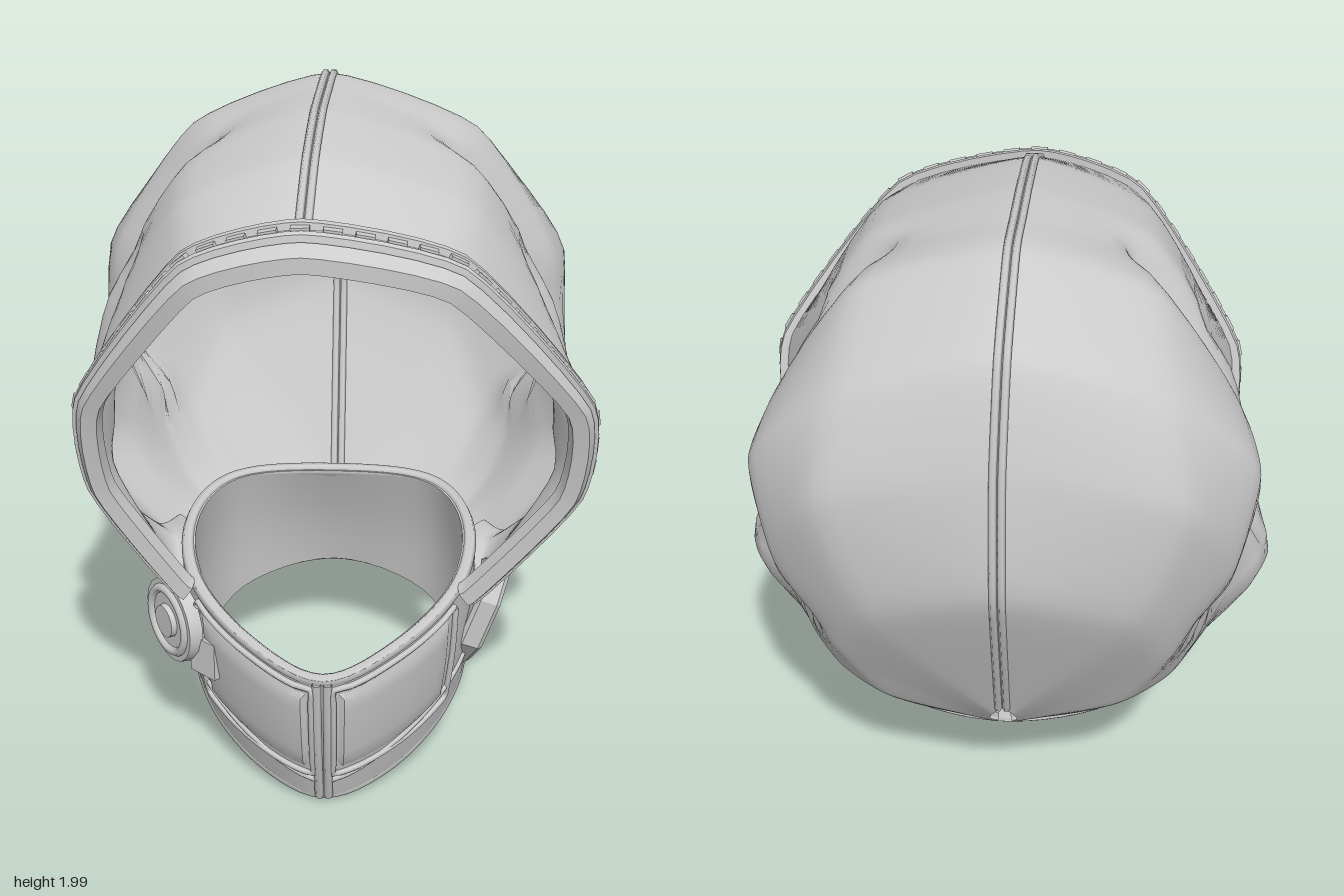
import * as THREE from 'three';
import { toCreasedNormals } from 'three/addons/utils/BufferGeometryUtils.js';

const V = (x, y, z) => new THREE.Vector3(x, y, z);
const mat = new THREE.MeshStandardMaterial({ color: 0xcccccc, side: THREE.DoubleSide });
// Taut curve: nearly straight between points, for angular cloth
const taut = pts => new THREE.CatmullRomCurve3(pts, false, 'catmullrom', .28);

// Skin a list of equally long point rows
function skin(rows, crease = 0.5) {
  const n = rows[0].length, pos = [], idx = [];
  rows.forEach(r => r.forEach(p => pos.push(p.x, p.y, p.z)));
  for (let i = 0; i < rows.length - 1; i++)
    for (let j = 0; j < n - 1; j++) {
      const a = i * n + j, b = a + n;
      idx.push(a, a + 1, b, a + 1, b + 1, b);
    }
  const g = new THREE.BufferGeometry();
  g.setAttribute('position', new THREE.Float32BufferAttribute(pos, 3));
  g.setIndex(idx);
  return toCreasedNormals(g, crease);
}

// Hood arches from brow to nape: mid [y,z], then shoulder, side, jowl, hem [x,y,z]
const arches = [
  [[1.83, .62], [.36, 1.73, .59], [.69, 1.28, .45], [.68, .97, .39], [.43, .62, .36]],
  [[1.94, .38], [.40, 1.80, .35], [.64, 1.40, .27], [.65, .95, .23], [.46, .62, .25]],
  [[1.985, .10], [.41, 1.83, .10], [.65, 1.42, .09], [.74, .90, .11], [.49, .65, .12]],
  [[1.99, -.10], [.38, 1.84, -.07], [.60, 1.42, -.06], [.79, .85, -.03], [.55, .62, 0]],
  [[1.985, -.28], [.42, 1.84, -.24], [.67, 1.45, -.21], [.75, .84, -.15], [.51, .50, -.11]],
  [[1.84, -.59], [.45, 1.68, -.53], [.71, 1.38, -.41], [.64, .78, -.25], [.43, .45, -.20]],
  [[1.54, -.70], [.49, 1.40, -.64], [.65, 1.08, -.47], [.50, .62, -.36], [.32, .43, -.26]],
  [[1.15, -.73], [.36, 1.02, -.65], [.46, .78, -.51], [.35, .54, -.41], [.20, .41, -.32]],
  [[.57, -.49], [.03, .53, -.47], [.04, .48, -.43], [.03, .43, -.39], [.02, .40, -.35]],
];
// Creases pressed into both cheeks: z,y start, z,y end, depth, width
const folds = [
  [-.01, 1.82, -.08, 1.45, .08, .07], [-.08, 1.45, -.15, 1.25, .08, .07],
  [-.13, 1.28, -.09, 1.06, .08, .07], [.14, 1.55, .28, 1.22, .04, .07],
  [.26, 1.16, .14, 1.02, .03, .07], [-.12, 1.06, -.42, .90, .05, .07],
];

function foldIn(p) {
  let d = 0;
  for (const [z0, y0, z1, y1, depth, w] of folds) {
    const q = new THREE.Line3(V(0, y0, z0), V(0, y1, z1)).closestPointToPoint(V(0, p.y, p.z), true, V());
    const r = Math.hypot(p.y - q.y, p.z - q.z) / w;
    d = Math.max(d, depth * Math.exp(-r * r));
  }
  p.x -= Math.sign(p.x) * d * Math.min(1, Math.max(0, (Math.abs(p.x) - .2) / .25));
  return p;
}

// Mirrored arch; the opening leans a little to the left, the seam to the right
function hoodArch([mid, ...side], k) {
  const [hx, hy, hz] = side[3], lean = .025 * Math.max(0, 1 - k / 2);
  const half = s => [...side, [hx * .86, hy + .03, hz]].map(([x, y, z], i) =>
    V(s * x + (i === 1 || i === 2 ? lean : 0), y, z));
  return taut([...half(-1).reverse(), V(-.05 * Math.max(0, 1 - k / 6), ...mid), ...half(1)]).getPoints(60);
}

// Collar loops, half from front to back
const topHalf = [[0, .51, .71], [.22, .57, .61], [.40, .66, .40], [.43, .73, .15], [.32, .75, -.08], [0, .75, -.15]];
const lowHalf = [[0, .02, .59], [.19, .05, .49], [.36, .15, .31], [.42, .24, .10], [.32, .31, -.16], [0, .35, -.30]];
const loop = half => new THREE.CatmullRomCurve3([...half.map(p => V(...p)),
  ...half.slice(1, 5).reverse().map(([x, y, z]) => V(-x, y, z))], true);
const topLoop = loop(topHalf), lowLoop = loop(lowHalf);
function collarPoint(u, v, off = 0) {
  const p = lowLoop.getPoint(u).lerp(topLoop.getPoint(u), v);
  const s = 1 + (off + .015 * Math.sin(v * Math.PI)) / .42, zc = .14 + .09 * v;
  return V(p.x * s, p.y, zc + (p.z - zc) * s);
}
const range = (n, f) => Array.from({ length: n + 1 }, (_, i) => f(i / n));

export function createModel() {
  const root = new THREE.Group();
  const add = (name, geo, parent = root) => {
    const m = new THREE.Mesh(geo, mat);
    m.name = name;
    parent.add(m);
    return m;
  };
  const tube = (name, pts, r, closed = false) =>
    add(name, new THREE.TubeGeometry(new THREE.CatmullRomCurve3(pts, closed), pts.length * 2, r, 6, closed));

  // Hood shell
  const coarse = arches.map(hoodArch);
  const columns = coarse[0].map((_, j) => taut(coarse.map(r => r[j])).getPoints(64).map(foldIn));
  add('hood', skin(columns, .8));

  // Centre seam: twin welts
  const mid = columns[30].filter((_, i) => i % 2 === 0);
  for (const s of [-1, 1])
    tube('centreSeam', mid.map(p => V(p.x + s * .012, p.y, p.z)), .011);

  // Face opening rim: a stepped band swept along the brow arch
  const edge = coarse[0].slice(5, 56);
  const rimPoint = (p, out, f) => {
    const d = V(p.x, p.y - 1.2, 0).normalize();
    const drop = f * .35 * Math.max(0, (p.y - 1.2) / .6);
    return V(p.x + d.x * out, p.y + d.y * out - drop, p.z + f);
  };
  const profile = [[-.02, -.01], [.022, -.01], [.026, .008], [.008, .012], [.008, .036], [.026, .04],
    [.024, .052], [.006, .056], [.012, .064], [-.005, .098], [-.05, .098], [-.06, .05], [-.02, -.01]];
  add('openingRim', skin(edge.map(p => profile.map(([o, f]) => rimPoint(p, o, f))), .4));

  // Stitches in the rim channel
  const stitches = new THREE.Group();
  stitches.name = 'rimStitches';
  root.add(stitches);
  const rimCurve = new THREE.CatmullRomCurve3(edge.map(p => rimPoint(p, .014, .024)));
  const stitchGeo = new THREE.BoxGeometry(.024, .022, .05);
  range(40, t => {
    const u = .02 + t * .96, p = rimCurve.getPointAt(u);
    const m = add('stitch', stitchGeo, stitches);
    m.position.copy(p);
    m.lookAt(p.clone().add(rimCurve.getTangentAt(u)));
  });

  // Neck collar, double walled
  const wall = [...range(5, v => [v, 0]), ...range(5, v => [1 - v, -.035]), [0, 0]];
  add('collar', skin(wall.map(([v, o]) => range(60, u => collarPoint(u, v, o)))));
  tube('collarTopHem', range(40, u => collarPoint(u, .985, -.015)).slice(0, 40), .02, true);
  tube('collarBottomHem', range(40, u => collarPoint(u, .02, -.015)).slice(0, 40), .018, true);

  for (const s of [1, -1]) {
    // Raised front panels with a piped frame
    const u0 = .014, u1 = .18, v0 = .24, v1 = .93;
    const at = (a, b, o) => collarPoint(s * (u0 + (u1 - u0) * a), v0 + (v1 - v0) * b, o);
    add('frontPanel', skin(range(8, b => range(12, a =>
      at(a, b, a % 1 === 0 || b % 1 === 0 ? -.01 : .008)))));
    const frame = [...range(8, a => at(a, 0, .004)), ...range(8, b => at(1, b, .004)).slice(1),
      ...range(8, a => at(1 - a, 1, .004)).slice(1), ...range(8, b => at(0, 1 - b, .004)).slice(1, 8)];
    tube('panelPiping', frame, .01, true);
    // Front closure edges and bib seam
    tube('closureEdge', range(8, v => collarPoint(s * .007, .03 + v * .95, .003)), .013);
    tube('bibSeam', range(12, t => collarPoint(s * (.01 + t * .23), .18 + t * .2, .001)), .009);
  }

  // Hanging hem flap on the left
  const flapShape = new THREE.Shape([[.35, .07], [.34, -.09], [.26, -.19], [.20, -.15], [.17, .10], [.29, .18]]
    .map(p => new THREE.Vector2(...p)));
  const flapGeo = new THREE.ExtrudeGeometry(flapShape,
    { depth: .05, bevelEnabled: true, bevelSize: .01, bevelThickness: .012, bevelSegments: 1 });
  flapGeo.rotateY(-Math.PI / 2);
  const flap = add('hemFlap', flapGeo);
  flap.position.set(.48, .49, 0);
  flap.rotation.z = -.32;

  // Round clasp on the right
  const clasp = new THREE.Group();
  clasp.name = 'clasp';
  root.add(clasp);
  const disc = (name, r, h, z) => {
    const m = add(name, new THREE.CylinderGeometry(r, r * 1.06, h, 20), clasp);
    m.rotation.x = Math.PI / 2;
    m.position.z = z;
  };
  disc('claspBase', .13, .04, 0);
  add('claspRing', new THREE.TorusGeometry(.1, .014, 6, 24), clasp).position.z = .02;
  disc('claspHub', .05, .03, .022);
  clasp.position.set(-.455, .50, .37);
  clasp.rotation.set(0, -.95, .2);

  // Strap keeper beside the clasp
  const keeper = add('strapKeeper', new THREE.BoxGeometry(.1, .12, .04));
  keeper.position.set(-.35, .43, .46);
  keeper.rotation.y = -.7;
  return root;
}
